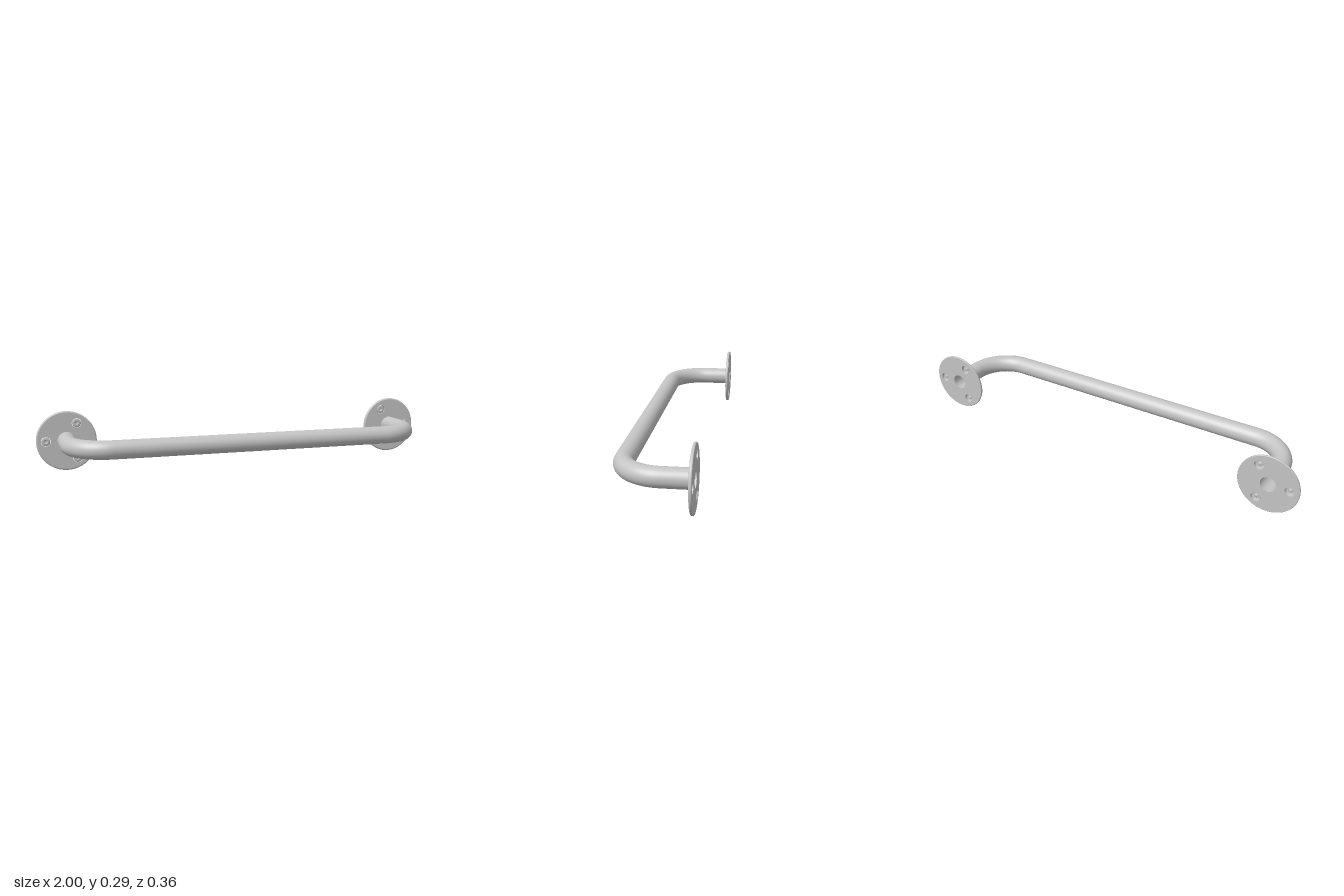
import * as THREE from 'three';

const Y = 0.145, X = 0.857;            // bar height and flange centre
const BACK = -0.18, FRONT = -0.167;    // flange faces
const R = 0.0435, BORE = 0.037;        // tube outer and inner radius
const PLATE = 0.143, HOLE = 0.023;

// Lathe turned so that its axis runs along z; points are [radius, z]
function turned(points, segments) {
  return new THREE.LatheGeometry(points.map(([r, z]) => new THREE.Vector2(r, z)), segments).rotateX(Math.PI / 2);
}

// Path of the bar: leg, bend, grip, bend, leg
function barPath(startZ) {
  const v = (x, z) => new THREE.Vector3(x, Y, z);
  const zBar = 0.18 - R, bend = 0.18, k = bend * (1 - 0.5523);
  const path = new THREE.CurvePath();
  path.add(new THREE.LineCurve3(v(-X, startZ), v(-X, zBar - bend)));
  path.add(new THREE.CubicBezierCurve3(v(-X, zBar - bend), v(-X, zBar - k), v(-X + k, zBar), v(-X + bend, zBar)));
  path.add(new THREE.LineCurve3(v(-X + bend, zBar), v(X - bend, zBar)));
  path.add(new THREE.CubicBezierCurve3(v(X - bend, zBar), v(X - k, zBar), v(X, zBar - k), v(X, zBar - bend)));
  path.add(new THREE.LineCurve3(v(X, zBar - bend), v(X, startZ)));
  return path;
}

export function createModel() {
  const model = new THREE.Group();
  model.name = 'grabBar';
  const steel = new THREE.MeshStandardMaterial({ color: 0xc4c4c4, side: THREE.DoubleSide });
  steel.name = 'brushed steel';

  const add = (parent, name, geometry) => {
    const mesh = new THREE.Mesh(geometry, steel);
    mesh.name = name;
    parent.add(mesh);
    return mesh;
  };

  // Hollow bent tube
  add(model, 'bar', new THREE.TubeGeometry(barPath(-0.172), 200, R, 40));
  add(model, 'barBore', new THREE.TubeGeometry(barPath(BACK), 160, BORE, 32));

  // Flange face with a bore and three screw holes
  const screwSpots = side => [0, 120, 240].map(deg => {
    const a = deg * Math.PI / 180;
    return [side * 0.098 * Math.cos(a), 0.098 * Math.sin(a)];
  });
  const face = (radius, side) => {
    const shape = new THREE.Shape().absarc(0, 0, radius, 0, Math.PI * 2);
    shape.holes.push(new THREE.Path().absarc(0, 0, BORE, 0, Math.PI * 2, true));
    for (const [x, y] of screwSpots(side)) {
      shape.holes.push(new THREE.Path().absarc(x, y, HOLE, 0, Math.PI * 2, true));
    }
    return new THREE.ShapeGeometry(shape, 32);
  };

  // Rounded outer edge of the flange
  const edge = [[PLATE - 0.002, BACK], [PLATE, BACK + 0.002]];
  for (let i = 0; i <= 5; i++) {
    const a = i / 5 * Math.PI / 2;
    edge.push([PLATE - 0.007 + 0.007 * Math.cos(a), FRONT - 0.007 + 0.007 * Math.sin(a)]);
  }
  const rim = turned(edge, 64);
  const holeWall = turned([[HOLE, BACK], [HOLE, FRONT]], 24);
  // Hollow-backed screw head with a drive socket
  const screw = turned([[0.021, -0.177], [0.021, -0.170], [0.0185, -0.168], [0.010, -0.1665],
    [0.009, -0.168], [0.008, -0.173], [0, -0.173]], 24);

  for (const side of [-1, 1]) {
    const flange = new THREE.Group();
    flange.name = side > 0 ? 'leftFlange' : 'rightFlange';
    flange.position.set(side * X, Y, 0);
    model.add(flange);
    add(flange, 'flangeFront', face(PLATE - 0.007, side)).position.z = FRONT;
    const back = add(flange, 'flangeBack', face(PLATE - 0.002, -side));
    back.rotation.y = Math.PI;
    back.position.z = BACK;
    add(flange, 'flangeRim', rim);
    for (const [x, y] of screwSpots(side)) {
      add(flange, 'screwHole', holeWall).position.set(x, y, 0);
      add(flange, 'screw', screw).position.set(x, y, 0);
    }
  }
  return model;
}
